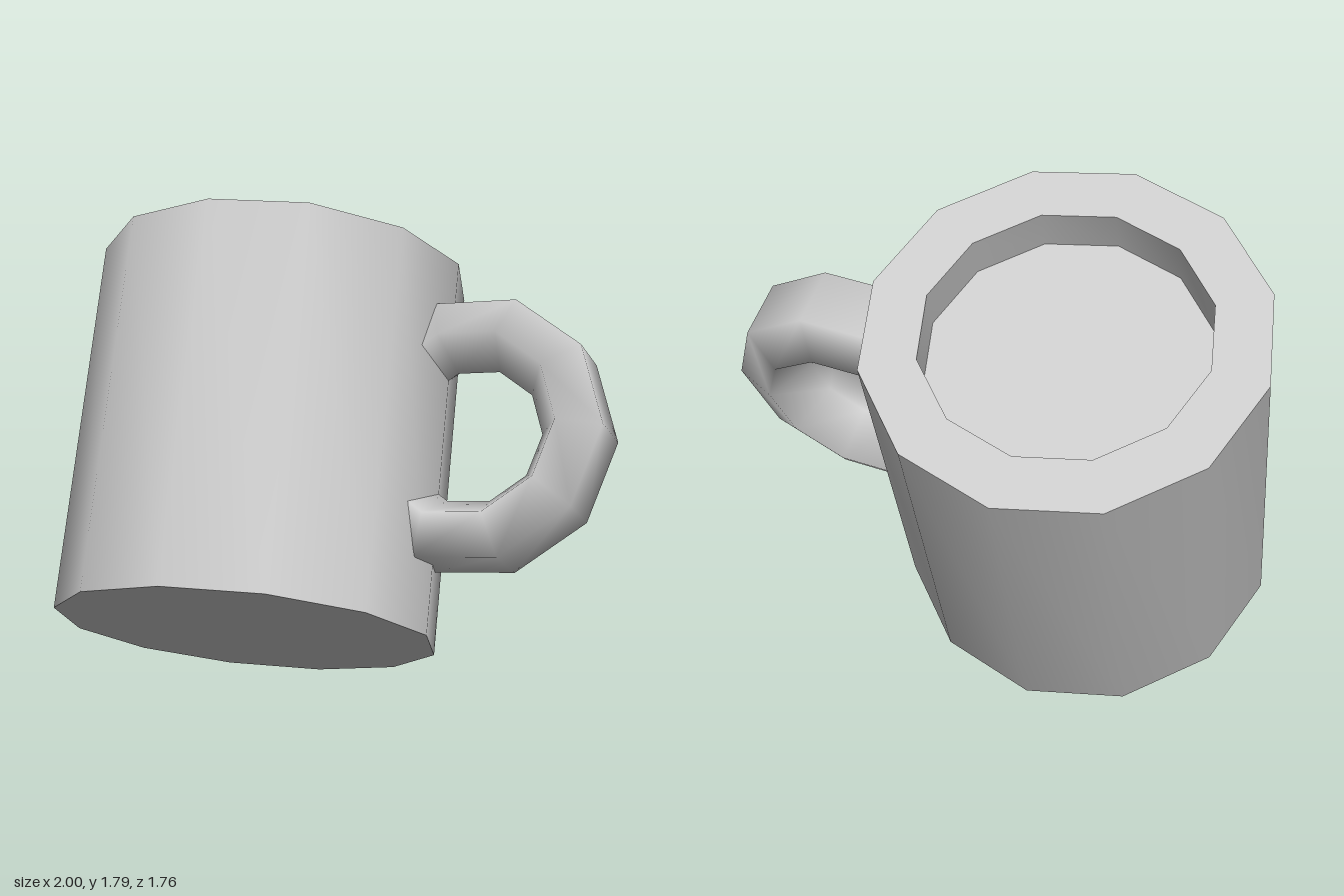
import * as THREE from 'three';
import { toCreasedNormals } from 'three/addons/utils/BufferGeometryUtils.js';

const R = 0.67, H = 0.672; // outer radius, half height

export function createModel() {
  const material = new THREE.MeshStandardMaterial({ color: 0xcccccc });
  const mug = new THREE.Group();
  mug.name = 'mug';

  // Twelve-sided body with a thick rim and a shallow recess
  const profile = [[0, -H], [R, -H], [R, H], [0.48, H], [0.48, H - 0.155], [0, H - 0.155]]
    .map(([x, y]) => new THREE.Vector2(x, y));
  const body = new THREE.Mesh(
    toCreasedNormals(new THREE.LatheGeometry(profile, 12), 0.7), material);
  body.name = 'body';

  // Five-sided ring handle, its ends sunk into the body;
  // the negative tube radius turns a flat side outwards
  const arc = Math.PI * 1.6;
  const ring = new THREE.TorusGeometry(0.373, -0.13, 5, 8, arc);
  ring.rotateZ(-arc / 2);
  ring.scale(1, 1, 1.37);
  const handle = new THREE.Mesh(ring, material);
  handle.name = 'handle';
  handle.position.set(0.78, 0.026, 0);
  mug.add(body, handle);

  // Tilt: the mug's axis leans back, the handle points to its left
  const up = new THREE.Vector3(-0.141, 0.897, -0.42).normalize();
  const side = new THREE.Vector3(0.984, 0.082, -0.157);
  side.addScaledVector(up, -side.dot(up)).normalize();
  const front = new THREE.Vector3().crossVectors(side, up);
  mug.quaternion.setFromRotationMatrix(new THREE.Matrix4().makeBasis(side, up, front));
  mug.position.set(-0.245, 0.8965, 0);

  const model = new THREE.Group();
  model.name = 'tiltedMug';
  model.add(mug);
  return model;
}
